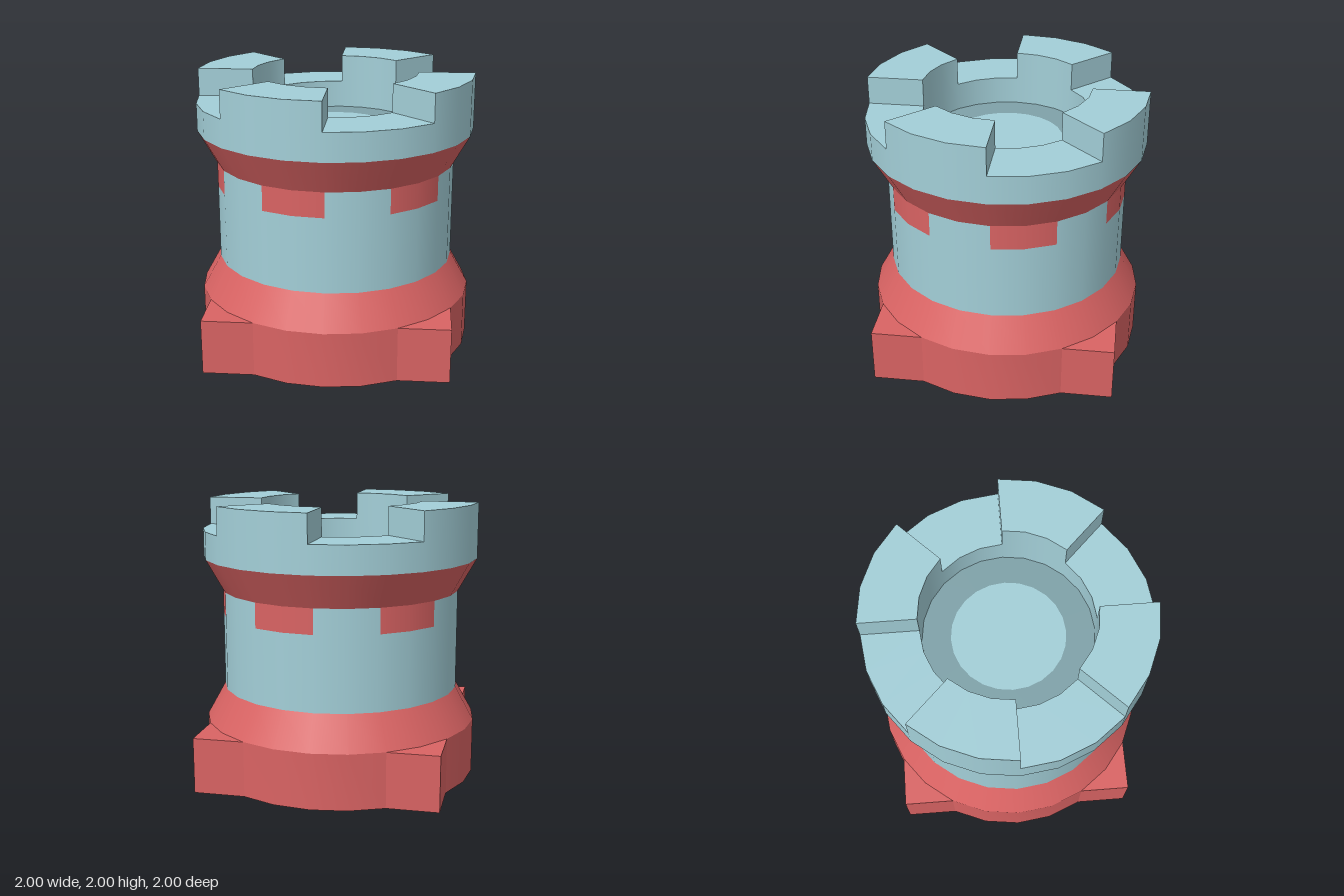
import * as THREE from 'three';
import { mergeGeometries, toCreasedNormals } from 'three/addons/utils/BufferGeometryUtils.js';

const STEP = Math.PI / 12; // 24-sided tower
const R = 0.866; // shaft radius and half width of the square foot

// Surface of revolution, smooth around the axis and sharp at each profile point.
// from and count are in steps of 15 degrees, starting at the front.
function turned(points, from = 0, count = 24) {
  const bands = [];
  for (let i = 0; i < points.length - 1; i++) {
    const pair = [points[i], points[i + 1]].map(([r, y]) => new THREE.Vector2(r, y));
    bands.push(new THREE.LatheGeometry(pair, count, from * STEP, count * STEP));
  }
  return mergeGeometries(bands);
}

// Flat end of a battlement, facing forwards or backwards around the ring
function toothEnd(step, side) {
  const a = step * STEP;
  return new THREE.PlaneGeometry(0.4, 0.2)
    .rotateY(a + side * Math.PI / 2)
    .translate(0.8 * Math.sin(a), 1.9, 0.8 * Math.cos(a));
}

export function createModel() {
  const model = new THREE.Group();
  const blue = new THREE.MeshStandardMaterial({ color: 0xa3cfd8 });
  const darkBlue = new THREE.MeshStandardMaterial({ color: 0x7fa2a9 });
  const red = new THREE.MeshStandardMaterial({ color: 0xd96363 });
  const add = (name, geometry, material) => {
    const mesh = new THREE.Mesh(geometry, material);
    mesh.name = name;
    model.add(mesh);
  };

  // Foot: round plinth with a square corner on each diagonal
  const outline = [];
  for (let i = 0; i < 24; i++) {
    const r = i % 6 === 3 ? R * Math.SQRT2 : 1;
    outline.push(new THREE.Vector2(r * Math.sin(i * STEP), r * Math.cos(i * STEP)));
  }
  const foot = new THREE.ExtrudeGeometry(new THREE.Shape(outline), { depth: 0.4, bevelEnabled: false });
  add('foot', toCreasedNormals(foot.rotateX(-Math.PI / 2), 0.35), red);
  add('footSlope', turned([[1, 0.4], [R, 0.64]]), red);

  // Shaft with a band of alternating red blocks under the collar
  add('shaft', turned([[R, 0.64], [R, 1.18]]), blue);
  const blocks = [], gaps = [];
  for (let i = 0; i < 24; i += 4) {
    gaps.push(turned([[R, 1.18], [R, 1.36]], i, 2));
    blocks.push(turned([[R, 1.18], [R, 1.36]], i + 2, 2));
  }
  add('shaftBandGaps', mergeGeometries(gaps), blue);
  add('shaftBandBlocks', mergeGeometries(blocks), red);
  add('collar', turned([[R, 1.36], [1, 1.6]]), red);

  // Parapet: four notches alternating with four battlements
  const parapet = [];
  for (let i = 0; i < 24; i += 6) {
    parapet.push(
      turned([[1, 1.6], [1, 1.8], [0.6, 1.8], [0.6, 1.6]], i, 3),
      turned([[1, 1.6], [1, 2], [0.6, 2], [0.6, 1.6]], i + 3, 3),
      toothEnd(i + 3, -1),
      toothEnd(i + 6, 1),
    );
  }
  add('parapet', mergeGeometries(parapet), blue);

  // Platform inside the parapet
  add('platformRim', turned([[0.6, 1.6], [0.4, 1.6]]), darkBlue);
  add('platformFloor', turned([[0.4, 1.6], [0, 1.6]]), blue);
  return model;
}
